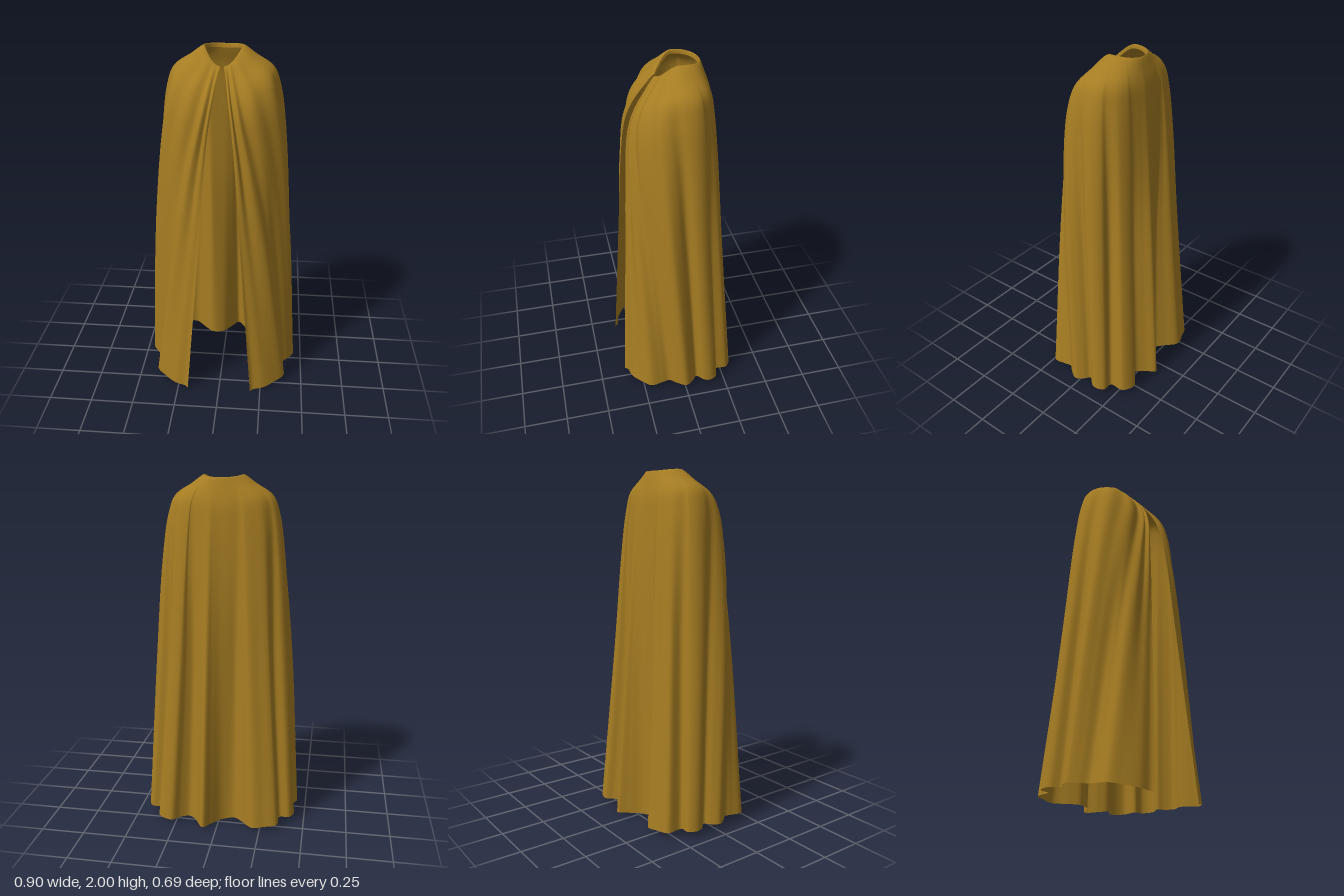
import * as THREE from 'three';

// Half-hem outlines [x, z], from the front opening round to the back pleats
const side = [[0.19, 0.345], [0.207, 0.328], [0.27, 0.312], [0.34, 0.262], [0.392, 0.21], [0.388, 0.14],
  [0.385, 0.095], [0.42, 0.055], [0.452, 0], [0.425, -0.045], [0.395, -0.075], [0.435, -0.12],
  [0.44, -0.16], [0.415, -0.2], [0.36, -0.205], [0.35, -0.287]];
const back = [[0.27, -0.32], [0.225, -0.28], [0.17, -0.255], [0.125, -0.29], [0.08, -0.35], [0.035, -0.3],
  [-0.02, -0.24], [-0.09, -0.222], [-0.14, -0.26], [-0.21, -0.325], [-0.28, -0.312]];

const CZ = -0.03; // z of the cloak's axis

// Rings from the collar down: width, front z, back z, heights at front, side, back, x of the front edge,
// roundness of the front, share of the hem pleats, pull of the cloth to the clasp, depth of the clasp tucks
const rings = [
  { rx: 0.098, zf: 0.076, zb: -0.14, y: [1.9, 1.98, 1.965], xe: 0.008, n: 1.6, pleat: 0, pull: 0.4, tuck: 0 },      // inner lip
  { rx: 0.104, zf: 0.084, zb: -0.148, y: [1.915, 2.0, 1.988], xe: 0.009, n: 1.6, pleat: 0, pull: 0.5, tuck: 0 },    // collar rim
  { rx: 0.18, zf: 0.14, zb: -0.17, y: [1.845, 1.952, 1.93], xe: 0.025, n: 2, pleat: 0.02, pull: 0.65, tuck: 0.03 }, // slope
  { rx: 0.27, zf: 0.2, zb: -0.195, y: [1.75, 1.89, 1.85], xe: 0.04, n: 2.2, pleat: 0.09, pull: 0.7, tuck: 0.035 },  // shoulder
  { rx: 0.31, zf: 0.24, zb: -0.212, y: [1.64, 1.79, 1.73], xe: 0.057, n: 2.3, pleat: 0.18, pull: 0.7, tuck: 0.035 }, // drop
  { rx: 0.348, zf: 0.27, zb: -0.236, y: [1.38, 1.55, 1.48], xe: 0.084, n: 2.4, pleat: 0.32, pull: 0.55, tuck: 0.03 }, // chest
  { rx: 0.395, zf: 0.298, zb: -0.278, y: [0.92, 1.0, 0.96], xe: 0.119, n: 2.6, pleat: 0.64, pull: 0.3, tuck: 0.015 }, // thigh
];

// Radius of a rounded-box oval in a direction measured from the front
function ovalRadius(a, rx, zf, zb, n) {
  const s = Math.abs(Math.sin(a)), c = Math.cos(a);
  const rz = c > 0 ? zf - CZ : CZ - zb;
  return Math.pow(Math.pow(s / rx, n) + Math.pow(Math.abs(c) / rz, n), -1 / n);
}

// One ring point; u runs from the left front edge (0) round the back to the right one (1)
function ringPoint(ring, u, pleat) {
  const v = 2 * Math.min(u, 1 - u);
  // Front cloth is drawn towards the clasp
  const pulled = v * (1 - ring.pull * (1 - THREE.MathUtils.smoothstep(v, 0.1, 0.6)));
  const a0 = Math.atan2(ring.xe, ring.zf - CZ);
  const half = a0 + pulled * (Math.PI - a0);
  const c = Math.cos(half), s = Math.sin(half);
  const tuck = ring.tuck * Math.sin(v * 2 * Math.PI / 0.13) * (1 - THREE.MathUtils.smoothstep(v, 0.3, 0.5));
  const share = Math.min(1, ring.pleat * (1 + s * s));
  const n = c > 0 ? ring.n : 2.3;
  const r = ovalRadius(half, ring.rx, ring.zf, ring.zb, n) * (1 + share * pleat + tuck);
  const end = c > 0 ? ring.y[0] : ring.y[2];
  const y = ring.y[1] + (end - ring.y[1]) * c * c;
  return new THREE.Vector3(r * s * (u < 0.5 ? 1 : -1), y, CZ + r * c);
}

function cloakGeometry() {
  const mirrored = side.map(([x, z]) => [-x, z]).reverse();
  const hem = new THREE.CatmullRomCurve3(
    [...side, ...back, ...mirrored].map(([x, z]) => new THREE.Vector3(x, 0, z)));
  const cols = 320, perRing = 6, rows = rings.length * perRing;
  const t0 = Math.atan2(0.19, 0.345 - CZ);
  const position = [], index = [];
  let lastU = 0;
  for (let i = 0; i <= cols; i++) {
    const h = hem.getPointAt(i / cols);
    let t = Math.atan2(h.x, h.z - CZ);
    if (t < 0) t += 2 * Math.PI;
    const u = Math.min(1, Math.max(lastU, (t - t0) / (2 * Math.PI - 2 * t0)));
    lastU = u;
    // Depth of the pleat here, relative to a smooth hem
    const pleat = Math.hypot(h.x, h.z - CZ) / ovalRadius(t, 0.45, 0.355, -0.345, 3) - 1;
    const c = Math.cos(t);
    h.y = 0.045 - (c > 0 ? 0.056 : 0.034) * c * c;
    const column = new THREE.CatmullRomCurve3([...rings.map((r) => ringPoint(r, u, pleat)), h]);
    for (let j = 0; j <= rows; j++) position.push(...column.getPoint(j / rows).toArray());
  }
  for (let i = 0; i < cols; i++) {
    for (let j = 0; j < rows; j++) {
      const a = i * (rows + 1) + j, b = a + rows + 1;
      index.push(a, a + 1, b, b, a + 1, b + 1);
    }
  }
  const geometry = new THREE.BufferGeometry();
  geometry.setAttribute('position', new THREE.Float32BufferAttribute(position, 3));
  geometry.setIndex(index);
  geometry.computeVertexNormals();
  return geometry;
}

export function createModel() {
  const cloth = new THREE.MeshStandardMaterial({ color: 0xa57c22, side: THREE.DoubleSide });
  cloth.name = 'ochreCloth';
  const cloak = new THREE.Mesh(cloakGeometry(), cloth);
  cloak.name = 'cloak';
  const group = new THREE.Group();
  group.name = 'hoodlessCloak';
  group.add(cloak);
  return group;
}
